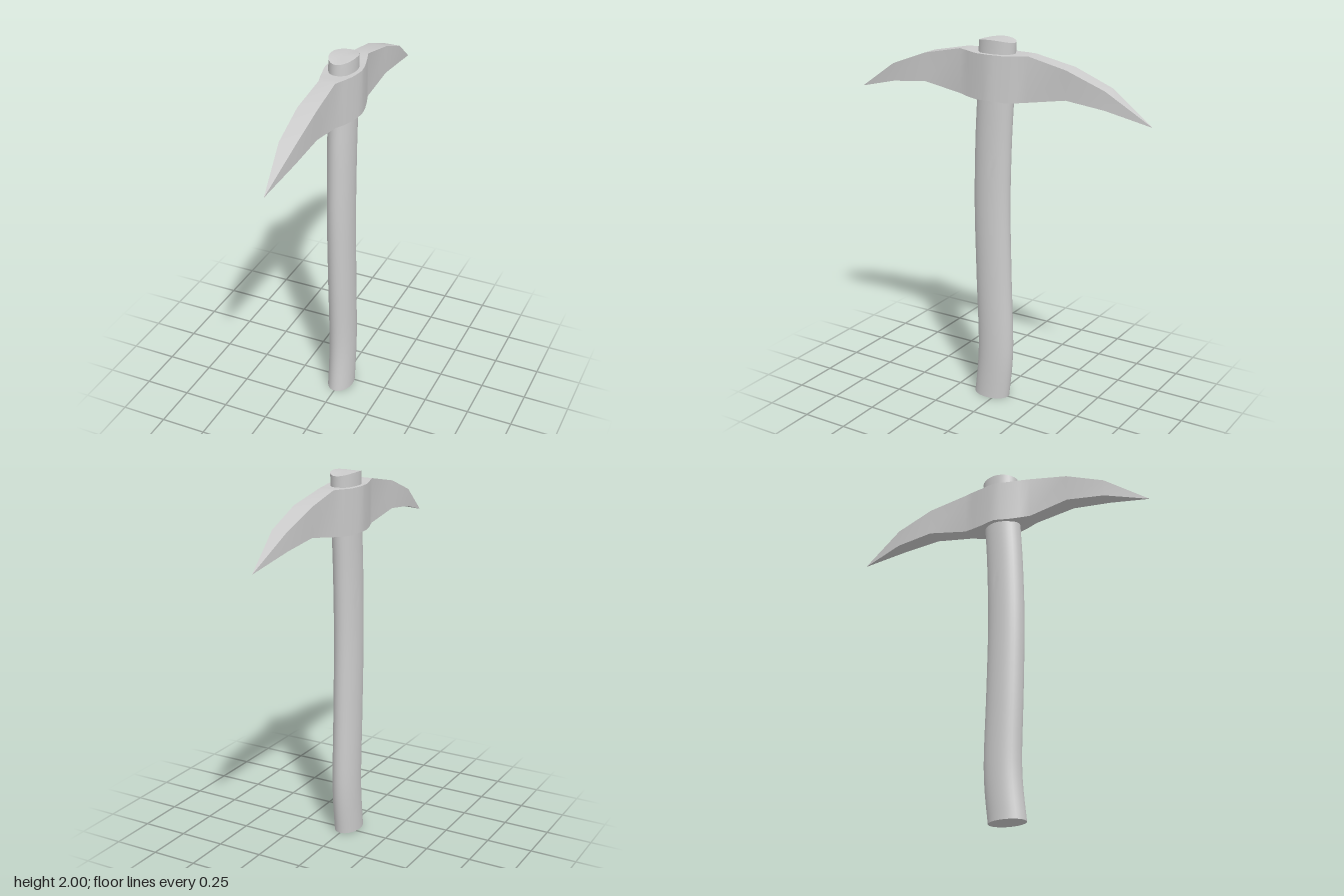
import * as THREE from 'three';
import { toCreasedNormals } from 'three/addons/utils/BufferGeometryUtils.js';

const material = new THREE.MeshStandardMaterial({ color: 0xcccccc });

// Half of the head, from the eye to the tip: [z, half width, bottom y, top y]
const STATIONS = [
  [0, 0.095, 1.695, 1.93],
  [0.035, 0.09, 1.693, 1.93],
  [0.08, 0.08, 1.69, 1.928],
  [0.14, 0.063, 1.693, 1.932],
  [0.2, 0.043, 1.7, 1.935],
  [0.42, 0.05, 1.74, 1.89],
  [0.63, 0.042, 1.715, 1.81],
  [0.865, 0.0008, 1.654, 1.656],
];

// Double-ended pick head: a segmented box whose cross-sections follow the stations
function createHead() {
  const last = STATIONS.length - 1;
  const geometry = new THREE.BoxGeometry(2, 2, 2 * last, 1, 1, 2 * last);
  const p = geometry.attributes.position;
  for (let i = 0; i < p.count; i++) {
    const step = Math.round(p.getZ(i));
    const [z, half, bottom, top] = STATIONS[Math.abs(step)];
    p.setXYZ(i, p.getX(i) * half, p.getY(i) > 0 ? top : bottom, Math.sign(step) * z);
  }
  const head = new THREE.Mesh(toCreasedNormals(geometry, Math.PI / 5), material);
  head.name = 'pickHead';
  return head;
}

// Oval handle, gently bowed front to back, with a slightly crowned top
function createHandle() {
  const rows = 28;
  const bow = new THREE.SplineCurve([
    [0, 0.036], [0.28, 0.012], [0.7, 0.024], [1.1, 0.033],
    [1.45, 0.026], [1.7, 0.013], [2, 0],
  ].map(([y, z]) => new THREE.Vector2(y, z)));
  const geometry = new THREE.CylinderGeometry(1, 1, rows, 32, rows);
  const p = geometry.attributes.position;
  for (let i = 0; i < p.count; i++) {
    const row = Math.round(p.getY(i) + rows / 2);
    const centre = bow.getPoint(row / rows);
    const side = p.getZ(i);
    const crown = row === rows ? 0.014 * side * side : 0;
    p.setXYZ(i, p.getX(i) * 0.07, centre.x - crown, centre.y + side * 0.103);
  }
  const handle = new THREE.Mesh(toCreasedNormals(geometry, Math.PI / 4), material);
  handle.name = 'handle';
  return handle;
}

export function createModel() {
  const group = new THREE.Group();
  group.name = 'pickaxe';
  group.add(createHandle(), createHead());
  return group;
}
